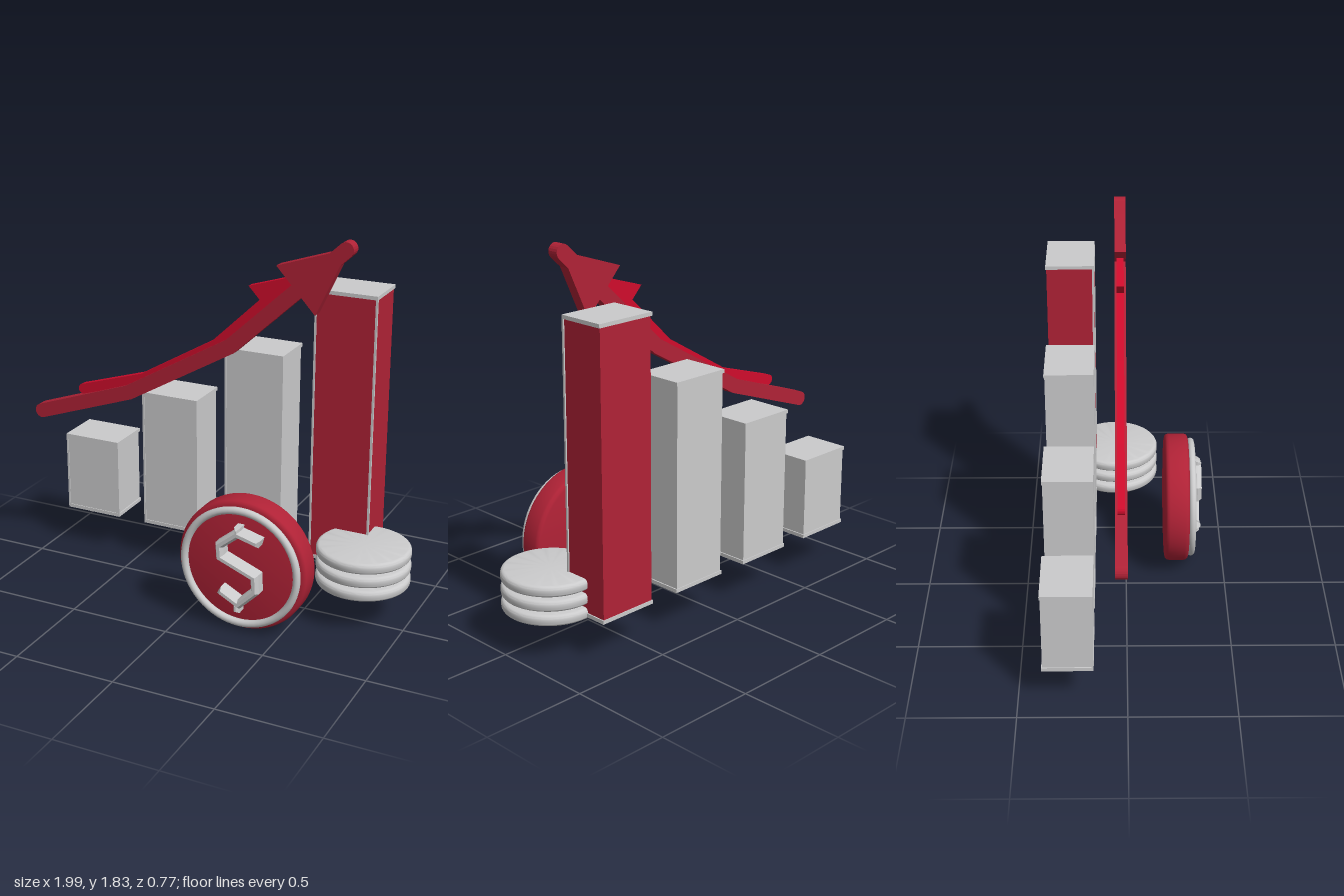
import * as THREE from 'three';
import { toCreasedNormals } from 'three/addons/utils/BufferGeometryUtils.js';

const mat = (name, color) => new THREE.MeshStandardMaterial({ name, color });

function add(parent, name, geometry, material, x = 0, y = 0, z = 0) {
  const mesh = new THREE.Mesh(geometry, material);
  mesh.name = name;
  mesh.position.set(x, y, z);
  parent.add(mesh);
  return mesh;
}

// Outline of a bent strip with mitred corners and optional round ends
function stripShape(path, r, round) {
  const p = path.map(([x, y]) => new THREE.Vector2(x, y));
  const n = p.length;
  const dirs = p.slice(1).map((b, i) => b.clone().sub(p[i]).normalize());
  const left = [], right = [];
  p.forEach((c, i) => {
    const a = dirs[Math.max(i - 1, 0)], b = dirs[Math.min(i, n - 2)];
    const na = new THREE.Vector2(-a.y, a.x), nb = new THREE.Vector2(-b.y, b.x);
    const m = na.clone().add(nb).normalize();
    m.multiplyScalar(r / m.dot(na));
    left.push(c.clone().add(m));
    right.push(c.clone().sub(m));
  });
  const cap = (c, d) => {
    const out = [], start = Math.atan2(d.y, d.x) - Math.PI / 2;
    for (let k = 1; round && k < 10; k++) {
      const t = start + Math.PI * k / 10;
      out.push(new THREE.Vector2(c.x + r * Math.cos(t), c.y + r * Math.sin(t)));
    }
    return out;
  };
  return new THREE.Shape([
    ...right, ...cap(p[n - 1], dirs[n - 2]),
    ...left.reverse(), ...cap(p[0], dirs[0].clone().negate()),
  ]);
}

const slab = (shape, depth) => new THREE.ExtrudeGeometry(shape, { depth, bevelEnabled: false });

// Disc along y, from 0 to h, with a softened edge of size e
function disc(r, h, e, steps) {
  const pts = [new THREE.Vector2(0, 0)];
  for (const [cy, from] of [[e, -Math.PI / 2], [h - e, 0]]) {
    for (let k = 0; k <= steps; k++) {
      const t = from + (Math.PI / 2) * k / steps;
      pts.push(new THREE.Vector2(r - e + e * Math.cos(t), cy + e * Math.sin(t)));
    }
  }
  pts.push(new THREE.Vector2(0, h));
  return toCreasedNormals(new THREE.LatheGeometry(pts, 64), 0.6);
}

export function createModel() {
  const model = new THREE.Group();
  model.name = 'growthChart';
  const silver = mat('silver', 0xcbcbcc);
  const red = mat('deepRed', 0xb02236);
  const crimson = mat('crimson', 0xd00c2c);

  // Four rising bars with thin end plates and front corner trims
  const W = 0.305, D = 0.235, BASE = 0.2, T = 0.018;
  [[-0.765, 0.615], [-0.312, 0.915], [0.145, 1.212], [0.602, 1.56]].forEach(([x, top], i) => {
    const bar = new THREE.Group();
    bar.name = `bar${i + 1}`;
    bar.position.set(x, BASE, -0.27);
    model.add(bar);
    const h = top - BASE;
    add(bar, 'barBody', new THREE.BoxGeometry(W - 0.012, h - 2 * T, D - 0.008), i === 3 ? red : silver, 0, h / 2);
    for (const y of [T / 2, h - T / 2]) {
      add(bar, 'endPlate', new THREE.BoxGeometry(W, T, D), silver, 0, y);
    }
    for (const s of [-1, 1]) {
      add(bar, 'cornerTrim', new THREE.BoxGeometry(0.01, h - 2 * T, 0.01), silver, s * (W / 2 - 0.005), h / 2, D / 2 - 0.005);
    }
  });

  // Rising arrows: a bent shaft and a triangular head each
  function arrow(name, path, r, head, z, depth, material) {
    const group = new THREE.Group();
    group.name = name;
    group.position.z = z;
    model.add(group);
    add(group, 'arrowShaft', slab(stripShape(path, r, true), depth), material);
    add(group, 'arrowHead', slab(new THREE.Shape(head.map(([x, y]) => new THREE.Vector2(x, y))), depth), material);
  }
  arrow('mainArrow', [[-0.963, 0.786], [-0.455, 0.963], [0.09, 1.275], [0.652, 1.797]], 0.036,
    [[0.32, 1.69], [0.513, 1.48], [0.662, 1.803]], -0.054, 0.054, red);
  arrow('rearArrow', [[-0.72, 0.938], [-0.375, 1.045], [0.01, 1.268], [0.38, 1.62]], 0.025,
    [[0.18, 1.577], [0.315, 1.433], [0.42, 1.652]], -0.044, 0.034, crimson);

  // Upright coin with a raised ring and a raised currency emblem
  const coin = new THREE.Group();
  coin.name = 'uprightCoin';
  coin.position.set(0.305, 0.328, 0.197);
  model.add(coin);
  add(coin, 'coinDisc', disc(0.326, 0.12, 0.022, 3), red).rotation.x = Math.PI / 2;
  add(coin, 'coinRing', new THREE.TorusGeometry(0.286, 0.018, 12, 64), silver, 0, 0, 0.135);

  const ridge = (path, r) => new THREE.ExtrudeGeometry(stripShape(path, r, false), {
    depth: 0.045, bevelThickness: 0.02, bevelSize: 0.012, bevelOffset: -0.012, bevelSegments: 1,
  });
  const curve = [[0.112, 0.155], [0, 0.185], [-0.09, 0.112], [-0.086, 0.052],
    [0.089, -0.017], [0.093, -0.09], [0.01, -0.172], [-0.091, -0.118]];
  add(coin, 'emblemCurve', ridge(curve, 0.02), silver, 0, 0, 0.122);
  for (const s of [-1, 1]) {
    add(coin, 'emblemStem', ridge([[0, s * 0.165], [0, s * 0.218]], 0.015), silver, 0, 0, 0.122);
  }

  // Stack of three silver coins
  for (let i = 0; i < 3; i++) {
    add(model, 'stackedCoin', disc(0.226, 0.054, 0.02, 5), silver, 0.77, 0.187 + i * 0.0695, -0.055);
  }
  return model;
}
